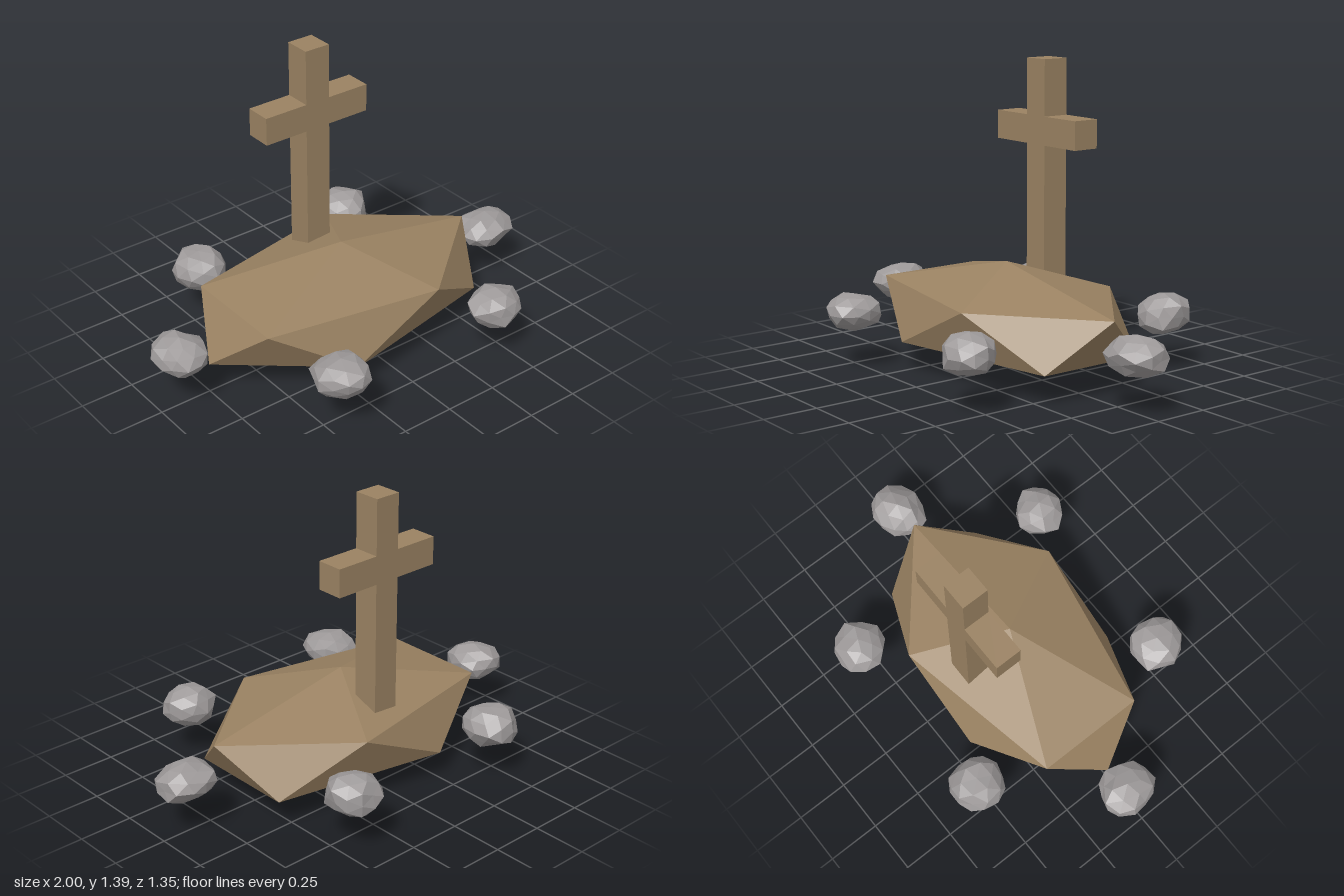
import * as THREE from 'three';
import { mergeVertices } from 'three/addons/utils/BufferGeometryUtils.js';
import { ConvexGeometry } from 'three/addons/geometries/ConvexGeometry.js';

const earth = new THREE.MeshStandardMaterial({ name: 'brown earth and wood', color: 0x9a8262, flatShading: true });
const stone = new THREE.MeshStandardMaterial({ name: 'grey stone', color: 0x9e9a9a, flatShading: true });

// Small seeded generator
function seeded(seed) {
  let s = seed;
  return () => (s = (s * 16807) % 2147483647) / 2147483647;
}

function addMesh(group, name, geometry, material) {
  const mesh = new THREE.Mesh(geometry, material);
  mesh.name = name;
  group.add(mesh);
  return mesh;
}

// Flattened twenty-sided mound: two poles and two staggered rings of five
function moundGeometry() {
  const cx = -0.012, cz = -0.005;
  const points = [new THREE.Vector3(cx, 0, cz), new THREE.Vector3(cx, 0.492, cz)];
  for (let i = 0; i < 5; i++) {
    const a = (i * Math.PI * 2) / 5;
    const x = 0.732 * Math.cos(a), z = 0.439 * Math.sin(a);
    points.push(new THREE.Vector3(cx + x, 0.358, cz + z));
    points.push(new THREE.Vector3(cx - x, 0.137, cz + z));
  }
  return new ConvexGeometry(points);
}

// Upright cross in one extruded outline
function crossGeometry() {
  const l = -0.075, r = 0.05, armL = -0.29, armR = 0.26, low = 1.005, high = 1.135;
  const outline = [
    [l, 0.3], [r, 0.3], [r, low], [armR, low], [armR, high], [r, high],
    [r, 1.39], [l, 1.39], [l, high], [armL, high], [armL, low], [l, low],
  ].map(([x, y]) => new THREE.Vector2(x, y));
  return new THREE.ExtrudeGeometry(new THREE.Shape(outline), { depth: 0.126, bevelEnabled: false })
    .translate(0, 0, -0.296);
}

// Irregular rock, jittered and then fitted to its size
function rockGeometry(seed, size) {
  const random = seeded(seed);
  const raw = new THREE.IcosahedronGeometry(1, 1);
  raw.deleteAttribute('normal');
  raw.deleteAttribute('uv');
  const geo = mergeVertices(raw, 1e-3);
  const pos = geo.attributes.position;
  const v = new THREE.Vector3();
  for (let i = 0; i < pos.count; i++) {
    v.fromBufferAttribute(pos, i).multiplyScalar(0.9 + 0.2 * random());
    pos.setXYZ(i, v.x, v.y, v.z);
  }
  geo.rotateY(random() * 6);
  geo.center();
  geo.boundingBox.getSize(v);
  geo.scale(size[0] / v.x, size[1] / v.y, size[2] / v.z);
  geo.computeVertexNormals();
  return geo;
}

export function createModel() {
  const model = new THREE.Group();
  model.name = 'grave';
  addMesh(model, 'mound', moundGeometry(), earth);
  addMesh(model, 'cross', crossGeometry(), earth);

  // Ring of stones: centre, size
  const rocks = [
    [[-0.88, 0.25, -0.015], [0.24, 0.17, 0.27]],
    [[0.86, 0.248, 0.003], [0.28, 0.175, 0.235]],
    [[-0.445, 0.255, -0.533], [0.25, 0.175, 0.255]],
    [[0.42, 0.252, -0.555], [0.25, 0.19, 0.25]],
    [[-0.438, 0.255, 0.543], [0.245, 0.175, 0.255]],
    [[0.433, 0.252, 0.533], [0.255, 0.185, 0.245]],
  ];
  rocks.forEach(([centre, size], i) => {
    addMesh(model, 'rock' + (i + 1), rockGeometry(1234577 * (i + 3), size), stone).position.set(...centre);
  });
  return model;
}
